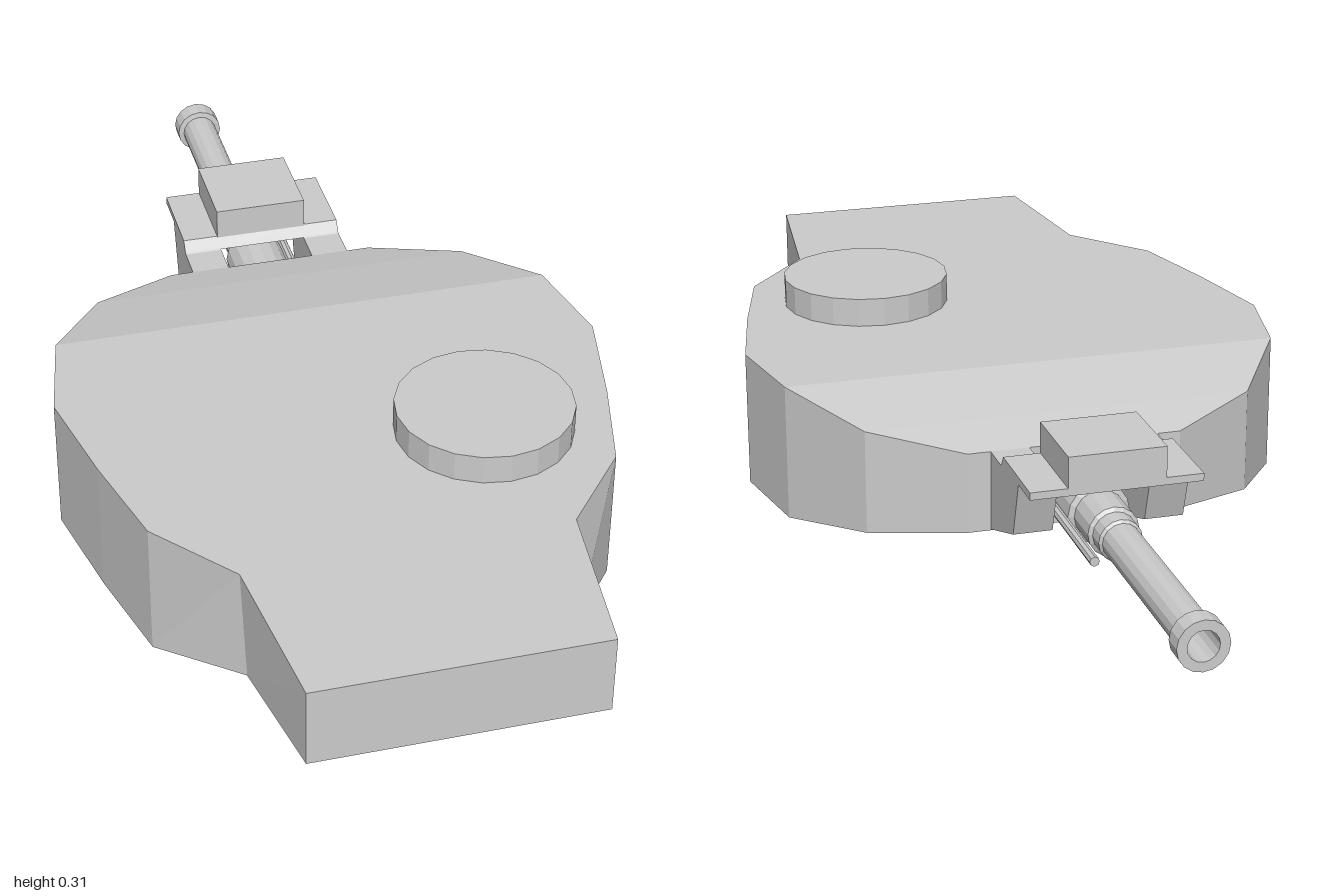
import * as THREE from 'three';

const mat = new THREE.MeshStandardMaterial({ color: 0xcccccc, flatShading: true, side: THREE.DoubleSide });

// Stations from front to back: top [half width, y, z], bottom [half width, y, z]
const STATIONS = [
  [[0.26, 0.26, 1.0], [0.26, 0.108, 1.0]],
  [[0.295, 0.26, 0.69], [0.295, 0.075, 0.735]],
  [[0.42, 0.26, 0.54], [0.42, 0, 0.54]],
  [[0.47, 0.26, 0.35], [0.47, 0, 0.35]],
  [[0.512, 0.26, 0.15], [0.512, 0, 0.15]],
  [[0.475, 0.26, -0.04], [0.475, 0, -0.04]],
  [[0.365, 0.225, -0.21], [0.365, 0.027, -0.21]],
  [[0.2, 0.2, -0.305], [0.2, 0.047, -0.305]],
];

// Faceted shell, open underneath except for the sloped overhang
function shellGeometry() {
  const pos = [];
  const quad = (a, b, c, d) => pos.push(...a, ...b, ...c, ...a, ...c, ...d);
  const flip = ([x, y, z]) => [-x, y, z];
  for (let i = 0; i < STATIONS.length - 1; i++) {
    const [t0, b0] = STATIONS[i], [t1, b1] = STATIONS[i + 1];
    quad(flip(t0), t0, t1, flip(t1));
    quad(b0, b1, t1, t0);
    quad(flip(t0), flip(t1), flip(b1), flip(b0));
    if (i < 2) quad(flip(b1), b1, b0, flip(b0));
  }
  const [tf, bf] = STATIONS[0], [tr, br] = STATIONS[STATIONS.length - 1];
  quad(flip(bf), bf, tf, flip(tf));
  quad(flip(tr), tr, br, flip(br));
  const g = new THREE.BufferGeometry();
  g.setAttribute('position', new THREE.Float32BufferAttribute(pos, 3));
  g.computeVertexNormals();
  return g;
}

// Side profile of [z, y] points, extruded from x0 to x1
function sidePlate(points, x0, x1) {
  const shape = new THREE.Shape(points.map(([z, y]) => new THREE.Vector2(-z, y)));
  return new THREE.ExtrudeGeometry(shape, { depth: x1 - x0, bevelEnabled: false })
    .rotateY(Math.PI / 2).translate(x0, 0, 0);
}

// Turned part along -z from [radius, z] points
function turned(points, segments) {
  const profile = points.map(([r, z]) => new THREE.Vector2(r, -z));
  return new THREE.LatheGeometry(profile, segments).rotateX(-Math.PI / 2);
}

export function createModel() {
  const group = new THREE.Group();
  const add = (name, geometry, x = 0, y = 0, z = 0) => {
    const mesh = new THREE.Mesh(geometry, mat);
    mesh.name = name;
    mesh.position.set(x, y, z);
    group.add(mesh);
  };

  add('turretShell', shellGeometry());
  add('roofHatch', new THREE.CylinderGeometry(0.162, 0.162, 0.055, 20), 0.22, 0.2875, 0.4);

  // Mount arms on either side of the gun
  const arm = [[-0.3, 0.2], [-0.37, 0.2], [-0.39, 0.212], [-0.485, 0.212], [-0.45, 0.1], [-0.3, 0.047]];
  add('leftMountArm', sidePlate(arm, 0.085, 0.157));
  add('rightMountArm', sidePlate(arm, -0.157, -0.085));

  // Cover plate with a turned-down lip, and the box on top of it
  const cover = [[-0.372, 0.2], [-0.387, 0.222], [-0.555, 0.222], [-0.555, 0.208], [-0.395, 0.208], [-0.385, 0.195]];
  add('coverPlate', sidePlate(cover, -0.157, 0.157));
  add('sightBox', new THREE.BoxGeometry(0.178, 0.06, 0.17), 0, 0.25, -0.47);

  // Gun: stepped sleeve, barrel and hollow muzzle
  add('gunBarrel', turned([
    [0, -0.3], [0.057, -0.3], [0.057, -0.45], [0.047, -0.455], [0.047, -0.535], [0.04, -0.54],
    [0.04, -0.575], [0.035, -0.58], [0.035, -0.96], [0.046, -0.962], [0.046, -1.0],
    [0.028, -1.0], [0.028, -0.88], [0, -0.88],
  ], 16), 0, 0.122, 0);
  add('secondaryGun', turned([[0, -0.3], [0.015, -0.3], [0.015, -0.36], [0.009, -0.365], [0.009, -0.645], [0, -0.645]], 8), 0.069, 0.122, 0);

  return group;
}
